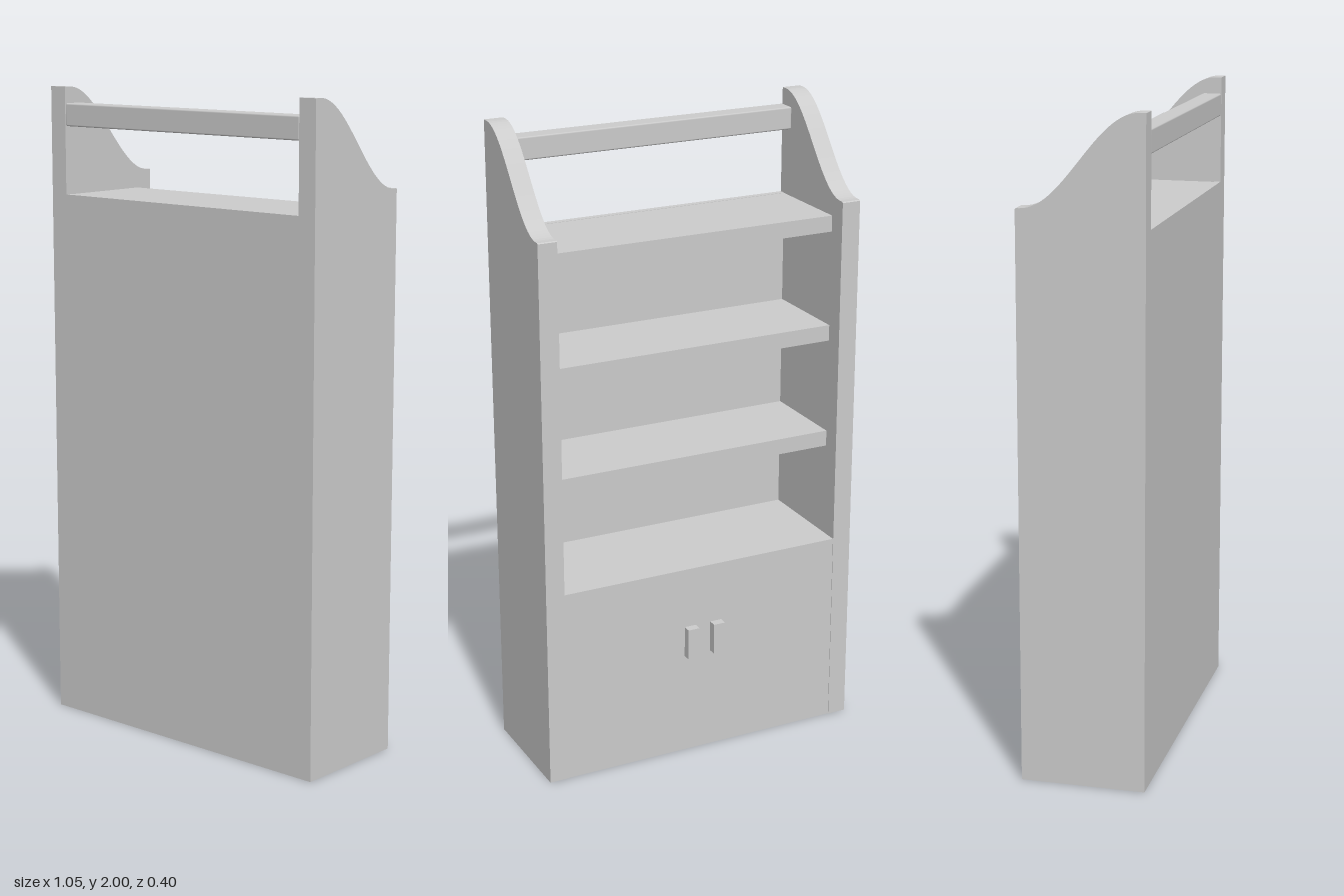
import * as THREE from 'three';
import { RoundedBoxGeometry } from 'three/addons/geometries/RoundedBoxGeometry.js';

const material = new THREE.MeshStandardMaterial({ color: 0xcccccc, side: THREE.DoubleSide });

// Box given by its limits on each axis
function box([x0, x1], [y0, y1], [z0, z1], bevel = 0) {
  const size = [x1 - x0, y1 - y0, z1 - z0];
  const geo = bevel ? new RoundedBoxGeometry(...size, 1, bevel) : new THREE.BoxGeometry(...size);
  return geo.translate((x0 + x1) / 2, (y0 + y1) / 2, (z0 + z1) / 2);
}

// Drops the faces lying on the floor, as the case is open underneath
function openBottom(source) {
  const geo = source.index ? source.toNonIndexed() : source;
  const pos = geo.attributes.position;
  const keep = [];
  for (let i = 0; i < pos.count; i += 3) {
    if (Math.max(pos.getY(i), pos.getY(i + 1), pos.getY(i + 2)) > 1e-4) keep.push(i, i + 1, i + 2);
  }
  geo.clearGroups();
  geo.setIndex(keep);
  return geo;
}

// Side board in the z-y plane with an S-curved upper edge
function sideBoard() {
  const shape = new THREE.Shape();
  shape.moveTo(-0.178, 0);
  shape.lineTo(0.2, 0);
  shape.lineTo(0.2, 2);
  const zTop = 0.18, zLow = -0.165, steps = 32;
  for (let i = 0; i <= steps; i++) {
    const t = i / steps;
    shape.lineTo(THREE.MathUtils.lerp(zTop, zLow, t), 1.8625 + 0.1375 * Math.cos(Math.PI * t));
  }
  shape.lineTo(-0.175, 1.725);
  shape.lineTo(-0.178, 1.722);
  const geo = new THREE.ExtrudeGeometry(shape, { depth: 0.06, bevelEnabled: false });
  return openBottom(geo.rotateY(-Math.PI / 2));
}

export function createModel() {
  const model = new THREE.Group();
  const add = (name, geo) => {
    const mesh = new THREE.Mesh(geo, material);
    mesh.name = name;
    model.add(mesh);
    return mesh;
  };
  const inner = [-0.465, 0.465];
  const panelZ = 0.18;

  // Two side boards
  add('leftSide', sideBoard()).position.x = 0.525;
  add('rightSide', sideBoard()).position.x = -0.465;

  // Full-height panel and the cupboard front
  add('backPanel', openBottom(box(inner, [0, 1.67], [panelZ, 0.2])));
  add('cupboardFront', openBottom(box(inner, [0, 0.625], [-0.176, -0.118])));

  // Shelves, the lowest one closing the cupboard
  for (let i = 0; i < 4; i++) {
    const top = 0.625 + i * 0.348;
    add('shelf', box(inner, [top - 0.05, top], [-0.118, panelZ]));
  }

  // Top rail between the sides
  add('topRail', box([-0.465, 0.465], [1.88, 1.95], [0.14, 0.2], 0.005));

  // Pair of cupboard handles
  for (const x of [-0.047, 0.042]) {
    add('handle', box([x - 0.019, x + 0.019], [0.33, 0.43], [-0.203, -0.176]));
  }
  return model;
}
